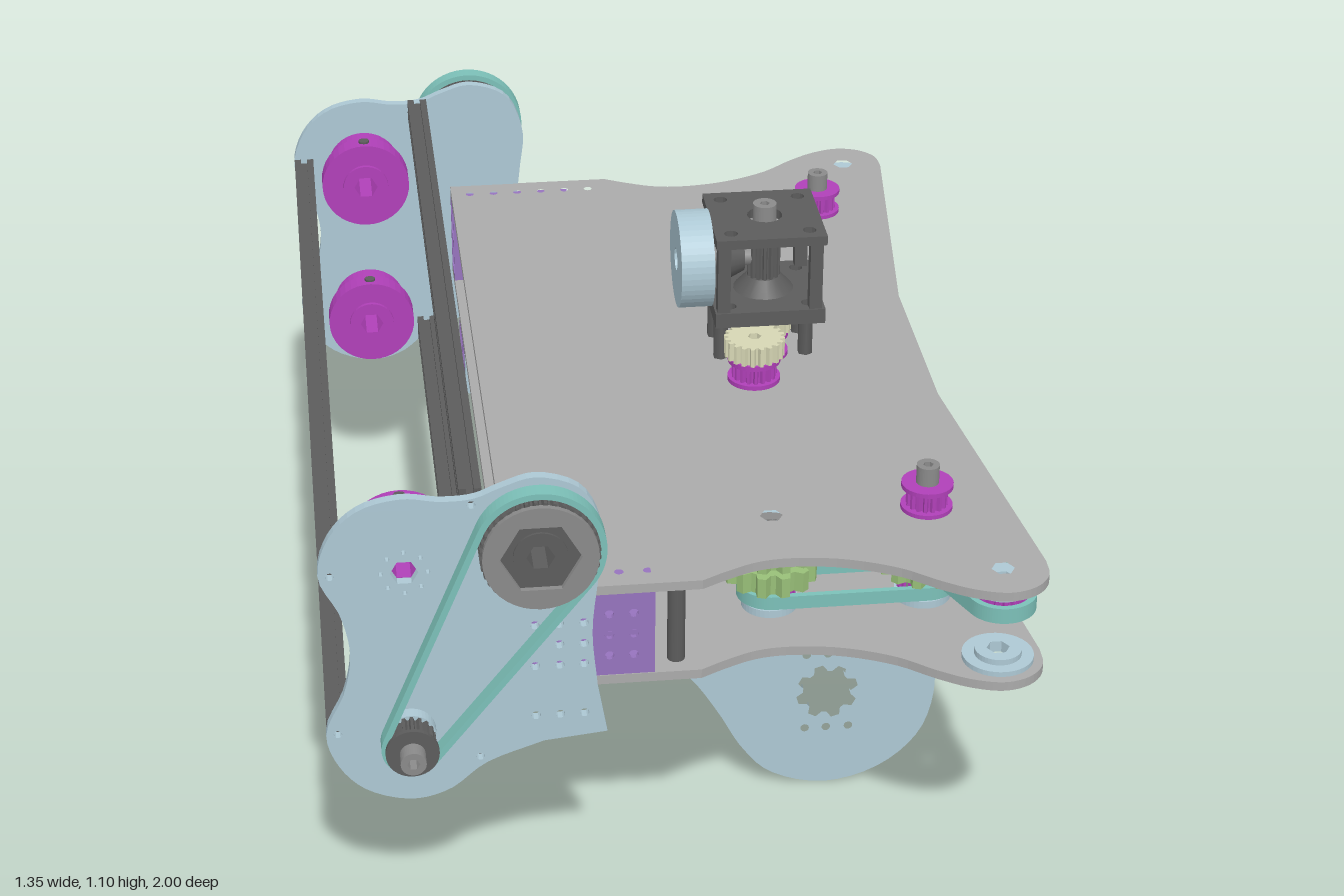
import * as THREE from 'three';

const mat = (color) => new THREE.MeshStandardMaterial({ color });
const BLUE = mat(0xadc8d4), DECK = mat(0xaaaaaa), DARK = mat(0x5c5c5c), STEEL = mat(0x8a8a8a), PURPLE = mat(0x9673bd),
  MAGENTA = mat(0xb040b8), TEAL = mat(0x7cc0b8), GREEN = mat(0x98bf78), CREAM = mat(0xd6d6b4);
const TAU = Math.PI * 2;

export function createModel() {
  const root = new THREE.Group();
  const body = new THREE.Group();
  body.name = 'chassis';
  body.position.z = -0.013;
  root.add(body);

  const add = (name, geo, m, x = 0, y = 0, z = 0) => {
    const mesh = new THREE.Mesh(geo, m);
    mesh.name = name;
    mesh.position.set(x, y, z);
    body.add(mesh);
    return mesh;
  };
  const extrude = (shape, depth, seg = 12) =>
    new THREE.ExtrudeGeometry(shape, { depth, bevelEnabled: false, curveSegments: seg }).translate(0, 0, -depth / 2);
  const hole = (shape, x, y, r, n = 12) => {
    const pts = [];
    for (let i = 0; i < n; i++) pts.push(new THREE.Vector2(x + r * Math.cos(-i / n * TAU), y + r * Math.sin(-i / n * TAU)));
    shape.holes.push(new THREE.Path(pts));
  };
  // toothed or plain ring
  const gearShape = (r, depth, teeth, bore, boreSides = 6) => {
    const s = new THREE.Shape();
    if (teeth) {
      const pts = [];
      for (let i = 0; i < teeth; i++) [[0, 0], [0.2, 1], [0.55, 1], [0.75, 0]].forEach(([f, t]) => {
        const a = (i + f) / teeth * TAU, q = t ? r : r - depth;
        pts.push(new THREE.Vector2(q * Math.cos(a), q * Math.sin(a)));
      });
      s.setFromPoints(pts);
    } else s.absarc(0, 0, r, 0, TAU);
    if (bore) hole(s, 0, 0, bore, boreSides);
    return s;
  };
  // belt loop around two pulleys
  const beltShape = (x1, y1, r1, x2, y2, r2, t) => {
    const th = Math.atan2(y2 - y1, x2 - x1), D = Math.hypot(x2 - x1, y2 - y1);
    const phi = Math.acos((r1 - r2) / D);
    const loop = (C, k) => {
      const p = new C();
      p.absarc(x1, y1, r1 - k, th + phi, th - phi + TAU);
      p.absarc(x2, y2, r2 - k, th - phi, th + phi);
      p.closePath();
      return p;
    };
    const s = loop(THREE.Shape, 0);
    s.holes.push(loop(THREE.Path, t));
    return s;
  };
  const flat = (geo) => geo.rotateX(-Math.PI / 2);
  // ring or gear facing z, and the same lying flat between two heights
  const ringZ = (name, m, x, y, z, len, r, bore = 0, teeth = 0, d = 0.01) =>
    add(name, extrude(gearShape(r, d, teeth, bore), len, 20), m, x, y, z);
  const ringY = (name, m, x, y0, y1, z, r, bore = 0, teeth = 0, d = 0.01) =>
    add(name, flat(extrude(gearShape(r, d, teeth, bore), y1 - y0, 20)), m, x, (y0 + y1) / 2, z);
  const spline = (pts) => new THREE.CatmullRomCurve3(pts.map(([x, y]) => new THREE.Vector3(x, y, 0)), false, 'centripetal')
    .getPoints(pts.length * 4).map((p) => new THREE.Vector2(p.x, p.y));

  // deck plates
  const edge = [...spline([[0.03, 0.877], [0.08, 0.85], [0.14, 0.825], [0.2, 0.818], [0.3, 0.832], [0.4, 0.875], [0.47, 0.93], [0.53, 0.967],
    [0.59, 0.983], [0.64, 0.967], [0.67, 0.93], [0.675, 0.88]]), new THREE.Vector2(0.598, 0.22)];
  const half = [new THREE.Vector2(-0.325, 0.877), ...edge];
  for (const [name, y] of [['upperDeck', 0.755], ['lowerDeck', 0.558]]) {
    const s = new THREE.Shape([...half, ...half.map((p) => new THREE.Vector2(p.x, -p.y)).reverse()]);
    for (const k of [-1, 1]) {
      for (let i = 0; i < 6; i++) hole(s, -0.283 + i * 0.054, k * 0.83, 0.009);
      hole(s, 0.19, k * 0.66, 0.022, 6);
      hole(s, 0.59, k * 0.897, 0.022, 6);
    }
    add(name, flat(extrude(s, 0.019)), DECK, 0, y, 0);
  }

  // rear side plate outline
  const plate = new THREE.Shape([
    ...spline([[-0.168, 0.56], [-0.177, 0.68], [-0.165, 0.8], [-0.157, 0.9], [-0.195, 0.985], [-0.277, 1.015], [-0.34, 0.998], [-0.39, 0.978],
      [-0.45, 0.975], [-0.52, 0.985], [-0.6, 0.965], [-0.655, 0.91], [-0.677, 0.83], [-0.64, 0.745], [-0.625, 0.66], [-0.64, 0.575],
      [-0.677, 0.485], [-0.655, 0.41], [-0.605, 0.355], [-0.52, 0.328], [-0.45, 0.345], [-0.38, 0.4], [-0.27, 0.442]]),
    new THREE.Vector2(-0.15, 0.455)]);
  hole(plate, -0.52, 0.83, 0.026, 6);
  for (let i = 0; i < 8; i++) hole(plate, -0.52 + 0.043 * Math.cos(i / 8 * TAU), 0.83 + 0.043 * Math.sin(i / 8 * TAU), 0.005, 6);
  for (let c = 0; c < 3; c++) for (const y of [0.5, 0.61, 0.655, 0.7]) hole(plate, -0.284 + c * 0.0455, y, 0.009);
  const rails = [[-0.655, 0.83], [-0.655, 0.485], [-0.395, 0.965], [-0.39, 0.415]];
  rails.forEach(([x, y]) => hole(plate, x, y, 0.008));

  // support leg outline
  const leg = new THREE.Shape([
    ...spline([[0.345, 0.545], [0.38, 0.49], [0.44, 0.44], [0.51, 0.375], [0.555, 0.295], [0.567, 0.225], [0.54, 0.115], [0.46, 0.035],
      [0.344, 0.002], [0.23, 0.035], [0.17, 0.1], [0.12, 0.19], [0.06, 0.28], [-0.03, 0.36], [-0.14, 0.42], [-0.24, 0.445], [-0.325, 0.455]]),
    ...spline([[-0.325, 0.545], [-0.15, 0.545], [-0.08, 0.515], [0, 0.5], [0.09, 0.51], [0.167, 0.545]])]);
  const bore = gearShape(0.064, 0.014, 8).getPoints().map((p) => new THREE.Vector2(p.x + 0.344, p.y + 0.225));
  leg.holes.push(new THREE.Path(bore.reverse()));
  for (const x of [0.3, 0.344, 0.39]) for (const y of [0.316, 0.138]) hole(leg, x, y, 0.009);

  // hollow rectangular bracket tube along x, with drilled walls
  const bracket = (name, x0, x1, y, h, z, w, divider) => {
    const L = x1 - x0, t = 0.009, xc = (x0 + x1) / 2;
    for (const k of [-1, 1]) {
      const s = new THREE.Shape([[-L / 2, -h / 2], [L / 2, -h / 2], [L / 2, h / 2], [-L / 2, h / 2]].map((p) => new THREE.Vector2(...p)));
      for (let dx = -L / 2 + 0.045; dx < L / 2 - 0.03; dx += 0.0455)
        for (const dy of h > 0.1 ? [-0.0455, 0, 0.0455] : [0]) hole(s, dx, dy, 0.009);
      add(name, extrude(s, t), PURPLE, xc, y, z + k * (w - t) / 2);
      add(name, new THREE.BoxGeometry(L, t, w - t), PURPLE, xc, y + k * (h - t) / 2, z);
    }
    if (divider === 'y') add(name, new THREE.BoxGeometry(L, t, w - t), PURPLE, xc, y, z);
    else add(name, new THREE.BoxGeometry(L, h - t, t), PURPLE, xc, y, z);
  };

  // slotted rails
  const q = 0.021, g = 0.007, d = 0.011;
  const side = [[-q, -q], [-g, -q], [-g, -d], [g, -d], [g, -q]];
  const profile = [];
  for (let i = 0; i < 4; i++) side.forEach(([x, y]) => profile.push(new THREE.Vector2(x, y).rotateAround(new THREE.Vector2(), i * Math.PI / 2)));
  rails.forEach(([x, y]) => add('crossRail', extrude(new THREE.Shape(profile), 1.745), DARK, x, y, 0));

  for (const k of [-1, 1]) {
    add('sidePlate', extrude(plate, 0.02), BLUE, 0, 0, k * 0.885);
    add('supportLeg', extrude(leg, 0.02), BLUE, 0, 0, k * 0.463);
    bracket('legBracket', 0.167, 0.345, 0.502, 0.09, k * 0.56, 0.172, 'z');
    bracket('legBracket', -0.325, -0.147, 0.502, 0.09, k * 0.56, 0.172, 'z');
    bracket('deckBracket', -0.325, -0.058, 0.656, 0.178, k * 0.832, 0.086, 'y');
    add('deckSpacer', new THREE.CylinderGeometry(0.017, 0.017, 0.178, 12), DARK, -0.013, 0.656, k * 0.83);

    // inner drums on the side plates
    for (const y of [0.83, 0.485]) {
      ringZ('drumFlange', MAGENTA, -0.52, y, k * 0.785, 0.045, 0.097, 0.026);
      ringZ('drumHub', MAGENTA, -0.52, y, k * 0.84, 0.066, 0.08, 0.026);
      ringZ('drumCap', MAGENTA, -0.52, y, k * 0.76, 0.012, 0.05, 0.026);
      add('setScrew', new THREE.CylinderGeometry(0.012, 0.012, 0.012, 8), DARK, -0.52, y + 0.095, k * 0.785);
    }

    // side belt drive
    add('sideBelt', extrude(beltShape(-0.277, 0.895, 0.122, -0.52, 0.485, 0.057, 0.012), 0.034, 24), TEAL, 0, 0, k * 0.942);
    ringZ('largePulley', DARK, -0.277, 0.895, k * 0.945, 0.05, 0.11, 0.026, 40, 0.008);
    ringZ('largePulleyFlange', STEEL, -0.277, 0.895, k * 0.975, 0.012, 0.106, 0.075, 0);
    ringZ('largePulleyHub', DARK, -0.277, 0.895, k * 0.935, 0.08, 0.05, 0.026);
    ringZ('smallPulley', DARK, -0.52, 0.485, k * 0.942, 0.05, 0.046, 0.014, 18, 0.007);
    ringZ('smallPulleyFlange', DARK, -0.52, 0.485, k * 0.97, 0.009, 0.05, 0.014);
    ringZ('smallPulleyHub', BLUE, -0.52, 0.485, k * 0.907, 0.026, 0.048);
    ringZ('smallPulleyAxle', STEEL, -0.52, 0.485, k * 0.945, k > 0 ? 0.126 : 0.085, 0.024, 0.012);

    // gear stacks between the decks
    const z = k * 0.66;
    for (const [y0, y1] of [[0.687, 0.728], [0.633, 0.675]]) ringY('stackGear', GREEN, 0.19, y0, y1, z, 0.09, 0.022, 12, 0.016);
    ringY('stackGear', GREEN, 0.49, 0.633, 0.677, z, 0.09, 0.022, 12, 0.016);
    for (const x of [0.19, 0.49]) {
      ringY('stackHub', STEEL, x, 0.567, 0.745, z, 0.045, 0.022);
      ringY('bearing', BLUE, x, 0.567, 0.583, z, 0.055, 0.022);
      ringY('bearing', BLUE, x, 0.731, 0.745, z, 0.055, 0.022);
      ringY('lowerPulley', MAGENTA, x, 0.584, 0.629, z, 0.05, 0.022, 18, 0.006);
    }
    ringY('upperPulley', MAGENTA, 0.49, 0.679, 0.728, z, 0.05, 0.022, 18, 0.006);
    ringY('cornerPulley', MAGENTA, 0.59, 0.676, 0.722, k * 0.897, 0.05, 0.022, 18, 0.006);
    ringY('cornerBearing', BLUE, 0.59, 0.722, 0.745, k * 0.897, 0.052, 0.022);
    ringY('cornerFoot', BLUE, 0.59, 0.567, 0.578, k * 0.897, 0.068, 0.022);
    ringY('cornerFoot', BLUE, 0.59, 0.578, 0.59, k * 0.897, 0.045, 0.022);
    add('lowerBelt', flat(extrude(beltShape(0.19, -z, 0.065, 0.49, -z, 0.065, 0.012), 0.028, 20)), TEAL, 0, 0.606, 0);
    add('cornerBelt', flat(extrude(beltShape(0.49, -z, 0.066, 0.59, -k * 0.897, 0.066, 0.012), 0.032, 20)), TEAL, 0, 0.7, 0);

    // pulley above the deck
    ringY('topPulleyFlange', MAGENTA, 0.49, 0.764, 0.773, z, 0.05, 0.014);
    ringY('topPulley', MAGENTA, 0.49, 0.773, 0.811, z, 0.04, 0.014, 16, 0.006);
    ringY('topPulleyFlange', MAGENTA, 0.49, 0.811, 0.82, z, 0.05, 0.014);
    ringY('topPulleyShaft', STEEL, 0.49, 0.764, 0.858, z, 0.022, 0.01);
  }

  // gearbox frame
  for (const [y, h] of [[1.07, 0.02], [0.9, 0.032]]) {
    const s = new THREE.Shape([[0.155, -0.113], [0.38, -0.113], [0.38, 0.113], [0.155, 0.113]].map((p) => new THREE.Vector2(...p)));
    hole(s, 0.268, 0, 0.036, 16);
    for (const x of [0.188, 0.348]) for (const z of [-0.08, 0.08]) hole(s, x, z, 0.014);
    add('gearboxPlate', flat(extrude(s, h)), DARK, 0, y, 0);
  }
  for (const z of [-0.097, 0.097]) for (const x of [0.172, 0.36])
    add('gearboxPost', new THREE.BoxGeometry(0.026, 0.146, 0.026), DARK, x, 0.988, z);
  for (const x of [0.18, 0.357]) for (const z of [-0.087, 0.01])
    add('gearboxLeg', new THREE.CylinderGeometry(0.016, 0.016, 0.121, 6), DARK, x, 0.824, z);

  // vertical output shaft, bevel gears and motor
  ringY('outputDrum', DARK, 0.268, 0.945, 1.055, 0, 0.034, 0, 14, 0.006);
  ringY('outputShaft', STEEL, 0.268, 0.764, 1.106, 0, 0.024, 0.01);
  add('bevelGear', new THREE.CylinderGeometry(0.035, 0.062, 0.03, 20), DARK, 0.268, 0.932, 0);
  add('motorBevel', new THREE.CylinderGeometry(0.03, 0.052, 0.045, 20).rotateZ(-Math.PI / 2), DARK, 0.203, 0.99, 0);
  add('motorShaft', new THREE.CylinderGeometry(0.02, 0.02, 0.09, 12).rotateZ(Math.PI / 2), STEEL, 0.2, 0.99, 0);
  add('motor', extrude(gearShape(0.1, 0, 0, 0.024, 12), 0.068, 24).rotateY(Math.PI / 2), BLUE, 0.121, 0.99, 0);

  // drive pulleys and spur gears under the gearbox
  for (const [x, z, r] of [[0.235, 0.113, 0.062], [0.268, 0, 0.06]]) {
    ringY('driveGear', CREAM, x, 0.822, 0.862, z, r, 0.014, 20, 0.009);
    ringY('drivePulleyFlange', MAGENTA, x, 0.764, 0.774, z, 0.054, 0.014);
    ringY('drivePulley', MAGENTA, x, 0.774, 0.808, z, 0.046, 0.014, 18, 0.007);
    ringY('drivePulleyFlange', MAGENTA, x, 0.808, 0.819, z, 0.054, 0.014);
  }
  return root;
}
